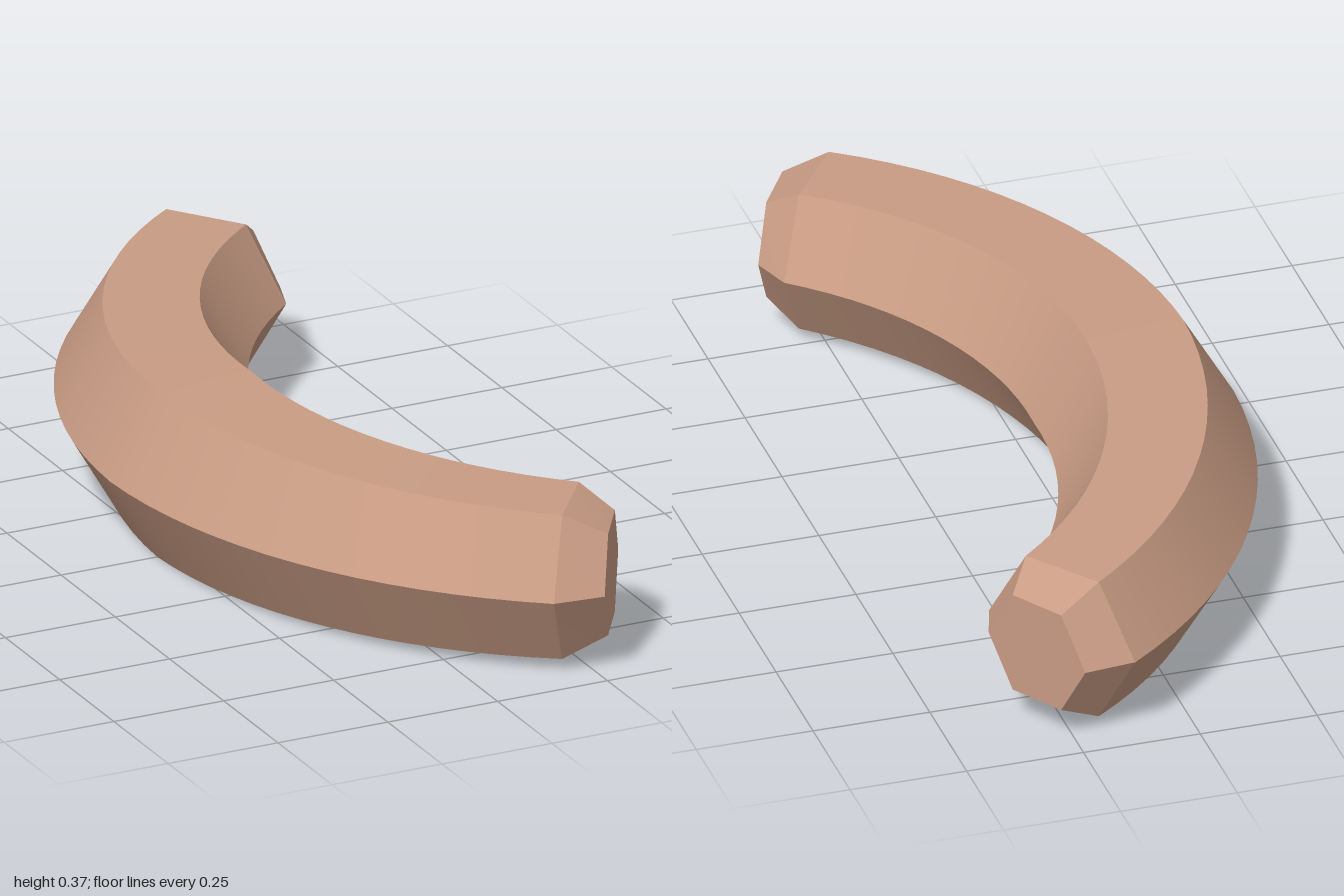
import * as THREE from 'three';
import { toCreasedNormals } from 'three/addons/utils/BufferGeometryUtils.js';

const SIDES = 6;
const ARC_RADIUS = 1.052, ARC_X = 0.878, MID_Y = 0.187;
const BODY_ANGLE = THREE.MathUtils.degToRad(53), TIP_ANGLE = THREE.MathUtils.degToRad(57.6);

// Point on the hexagonal section of radius r, at angle t along the arc
function sectionPoint(t, r, j) {
  const a = (j / SIDES) * Math.PI * 2;
  const d = ARC_RADIUS + r * Math.cos(a);
  return [ARC_X - d * Math.cos(t), MID_Y + r * Math.sin(a), d * Math.sin(t)];
}

function curvedHexBar() {
  // Sections: narrow tip, body tapering away from the middle, narrow tip
  const sections = [[-TIP_ANGLE, 0.129]];
  const steps = 32;
  for (let i = 0; i <= steps; i++) {
    const s = (i / steps) * 2 - 1;
    sections.push([s * BODY_ANGLE, 0.214 - 0.031 * Math.abs(s)]);
  }
  sections.push([TIP_ANGLE, 0.129]);

  const positions = [], index = [];
  for (const [t, r] of sections)
    for (let j = 0; j < SIDES; j++) positions.push(...sectionPoint(t, r, j));

  // Side walls
  const last = sections.length - 1;
  for (let i = 0; i < last; i++)
    for (let j = 0; j < SIDES; j++) {
      const k = (j + 1) % SIDES;
      const a = i * SIDES + j, b = i * SIDES + k;
      index.push(a, a + SIDES, b, b, a + SIDES, b + SIDES);
    }

  // Flat end faces
  const end = last * SIDES;
  for (let j = 1; j < SIDES - 1; j++) {
    index.push(0, j, j + 1);
    index.push(end, end + j + 1, end + j);
  }

  const geometry = new THREE.BufferGeometry();
  geometry.setAttribute('position', new THREE.Float32BufferAttribute(positions, 3));
  geometry.setIndex(index);
  return toCreasedNormals(geometry, 0.35);
}

export function createModel() {
  const group = new THREE.Group();
  group.name = 'curvedSausage';
  const body = new THREE.Mesh(curvedHexBar(), new THREE.MeshStandardMaterial({ color: 0xc99c84 }));
  body.name = 'body';
  group.add(body);
  return group;
}
